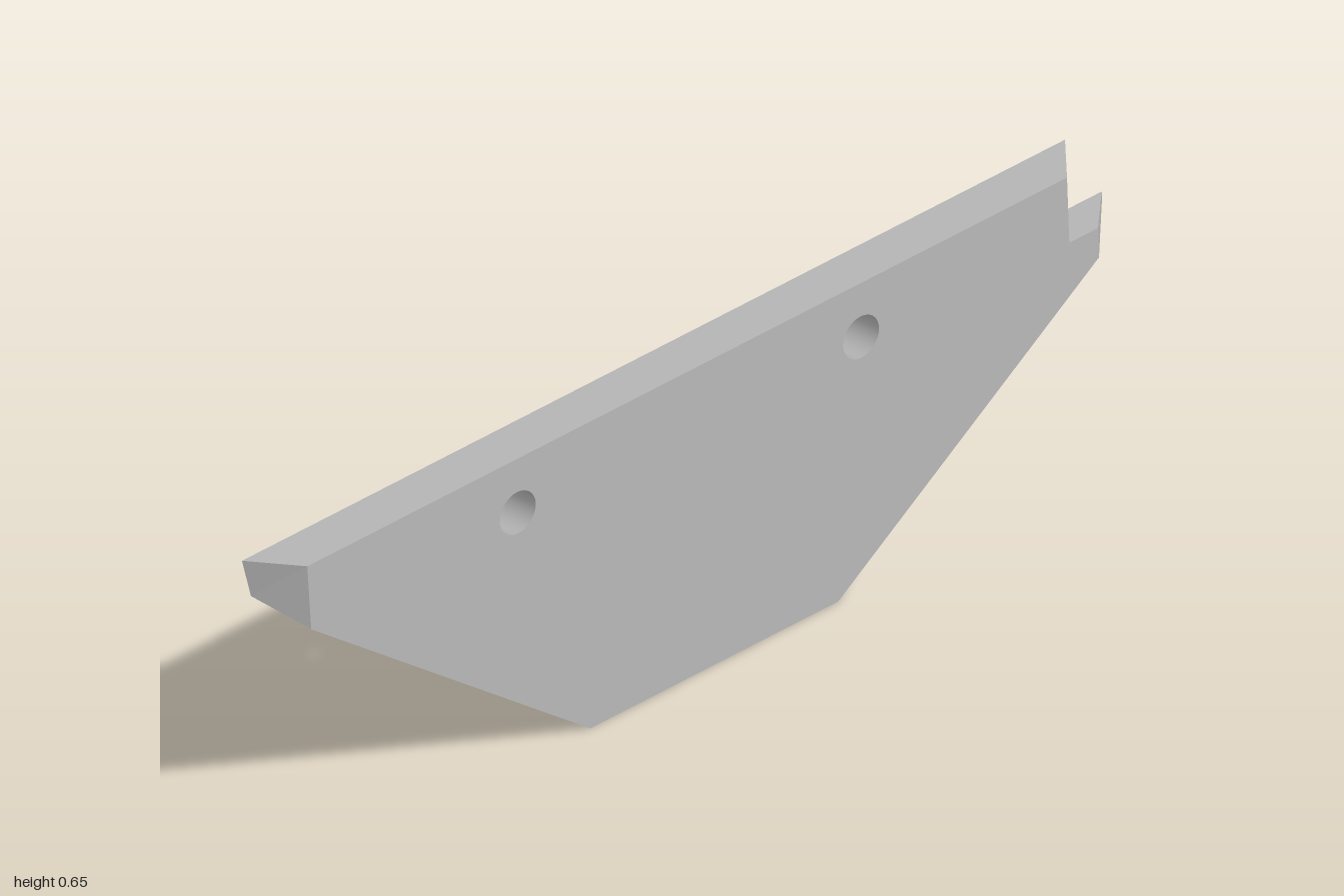
import * as THREE from 'three';

// Tapered plate: front and back planes give z for any x, y
const SLOPE = 0.3245;
const frontZ = (x, y) => 0.0985 - 0.075 * y - SLOPE * x;
const backZ = (x, y) => 0.05 - 0.151 * y - SLOPE * x;

const TOP = 0.647, LEDGE = 0.507;

// Matching outlines, counter-clockwise seen from the front
const frontOutline = [[-0.897, TOP], [-0.893, 0.51], [-0.26, 0], [0.32, 0],
  [0.947, 0.444], [0.947, LEDGE], [0.88, LEDGE], [0.88, TOP]];
const backOutline = [[-1, TOP], [-0.985, 0.568], [-0.268, 0], [0.32, 0],
  [1, 0.495], [1, LEDGE], [0.915, LEDGE], [0.925, TOP]];

const toVectors = pts => pts.map(([x, y]) => new THREE.Vector2(x, y));

// Bolt hole outline, clockwise
function holeLoop(cx, cy, n = 32) {
  return Array.from({ length: n }, (_, i) => {
    const a = -i / n * Math.PI * 2;
    return new THREE.Vector2(cx + 0.042 * Math.cos(a), cy + 0.044 * Math.sin(a));
  });
}

function buildGeometry(points, index) {
  const g = new THREE.BufferGeometry();
  g.setAttribute('position', new THREE.Float32BufferAttribute(points.flat(), 3));
  g.setIndex(index);
  return g;
}

// Flat face with holes lying on one of the planes
function faceGeometry(outline, holes, zAt, flip) {
  const points = [...outline, ...holes.flat()].map(p => [p.x, p.y, zAt(p.x, p.y)]);
  const tris = THREE.ShapeUtils.triangulateShape(outline, holes);
  const g = buildGeometry(points, tris.flatMap(([a, b, c]) => flip ? [a, c, b] : [a, b, c]));
  g.computeVertexNormals();
  return g;
}

// Wall joining a front loop to its matching back loop
function wallGeometry(front, back, smooth) {
  const n = front.length, points = [], index = [];
  front.forEach(p => points.push([p.x, p.y, frontZ(p.x, p.y)]));
  back.forEach(p => points.push([p.x, p.y, backZ(p.x, p.y)]));
  for (let i = 0; i < n; i++) {
    const j = (i + 1) % n;
    index.push(i, n + i, n + j, i, n + j, j);
  }
  let g = buildGeometry(points, index);
  if (!smooth) g = g.toNonIndexed();
  g.computeVertexNormals();
  return g;
}

export function createModel() {
  const group = new THREE.Group();
  group.name = 'taperedPlate';
  const grey = new THREE.MeshStandardMaterial({ color: 0xb4b4b4 });
  grey.name = 'plainGrey';
  const add = (geometry, name) => {
    const mesh = new THREE.Mesh(geometry, grey);
    mesh.name = name;
    group.add(mesh);
  };

  // Holes run square to the plate, so they shift slightly towards the back
  const centres = [-0.409, 0.394];
  const frontHoles = centres.map(x => holeLoop(x, 0.533));
  const backHoles = centres.map(x => holeLoop(x - 0.027, 0.525));
  const front = toVectors(frontOutline), back = toVectors(backOutline);

  add(faceGeometry(front, frontHoles, frontZ, false), 'frontFace');
  add(faceGeometry(back, backHoles, backZ, true), 'backFace');
  add(wallGeometry(front, back, false), 'bevelledRim');
  frontHoles.forEach((h, i) =>
    add(wallGeometry(h, backHoles[i], true), i ? 'leftBoltHole' : 'rightBoltHole'));
  return group;
}
